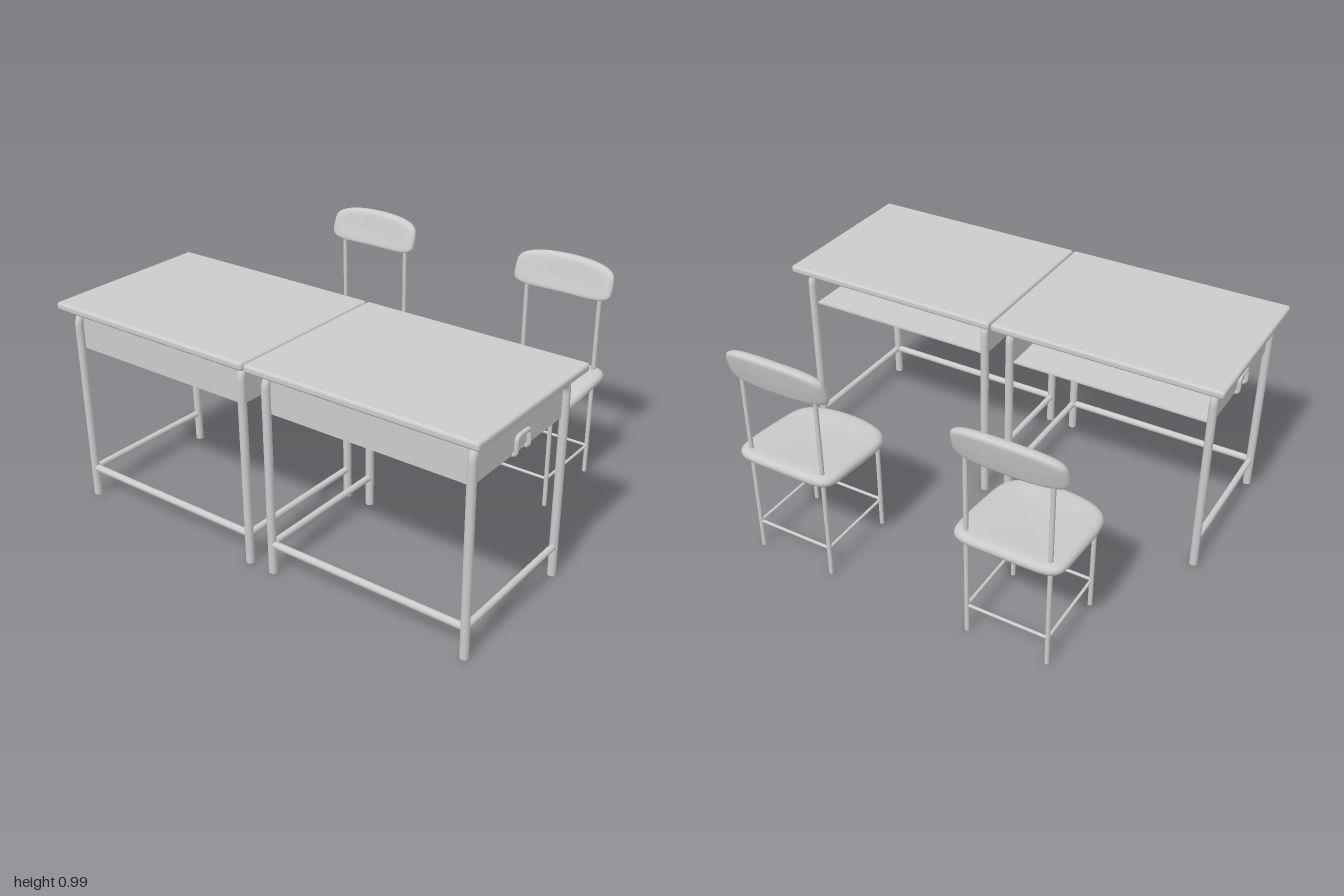
import * as THREE from 'three';
import { RoundedBoxGeometry } from 'three/addons/geometries/RoundedBoxGeometry.js';
import { mergeVertices } from 'three/addons/utils/BufferGeometryUtils.js';

const V = (x, y, z) => new THREE.Vector3(x, y, z);
const material = new THREE.MeshStandardMaterial({ color: 0xcccccc });

function add(group, name, geometry, x = 0, y = 0, z = 0) {
  const mesh = new THREE.Mesh(geometry, material);
  mesh.name = name;
  mesh.position.set(x, y, z);
  group.add(mesh);
  return mesh;
}

// Straight round bar between two points
function rod(group, name, a, b, r) {
  const dir = b.clone().sub(a);
  const mesh = add(group, name, new THREE.CylinderGeometry(r, r, dir.length(), 16));
  mesh.position.copy(a).add(b).multiplyScalar(0.5);
  mesh.quaternion.setFromUnitVectors(V(0, 1, 0), dir.normalize());
}

// Bent tube through points, corners rounded by radius c
function bentTube(points, c, r, segments) {
  const path = new THREE.CurvePath();
  let from = points[0];
  for (let i = 1; i < points.length - 1; i++) {
    const p = points[i];
    const a = p.clone().add(points[i - 1].clone().sub(p).setLength(c));
    const b = p.clone().add(points[i + 1].clone().sub(p).setLength(c));
    path.add(new THREE.LineCurve3(from, a));
    path.add(new THREE.QuadraticBezierCurve3(a, p.clone(), b));
    from = b;
  }
  path.add(new THREE.LineCurve3(from, points[points.length - 1]));
  return new THREE.TubeGeometry(path, segments, r, 12, false);
}

// Soft-edged pad: a lathed disc squared off by exponent p, then shaped by a rule.
// The rule gets u, v in -1..1, height h in -1..1 and radius s in 0..1.
function pad(p, rule) {
  const profile = [[0, -1], [0.4, -1], [0.75, -1], [0.89, -0.95], [0.96, -0.7], [0.99, -0.35], [1, 0],
    [0.99, 0.35], [0.96, 0.7], [0.89, 0.95], [0.75, 1], [0.55, 1], [0.35, 1], [0.17, 1], [0, 1]];
  let g = new THREE.LatheGeometry(profile.map(([x, y]) => new THREE.Vector2(x, y)), 96);
  const pos = g.attributes.position;
  for (let i = 0; i < pos.count; i++) {
    const x = pos.getX(i), h = pos.getY(i), z = pos.getZ(i);
    const s = Math.hypot(x, z);
    const k = s < 1e-6 ? 0 : s / Math.pow(Math.abs(x) ** p + Math.abs(z) ** p, 1 / p);
    pos.setXYZ(i, ...rule(x * k, z * k, h, s));
  }
  g.deleteAttribute('uv');
  g.deleteAttribute('normal');
  g = mergeVertices(g, 1e-5);
  g.computeVertexNormals();
  return g;
}

function makeDesk(side) {
  const desk = new THREE.Group();
  desk.name = 'desk';
  const zf = 0.716, zb = 0.082, legX = 0.442, r = 0.0175;

  add(desk, 'deskTop', new RoundedBoxGeometry(0.997, 0.034, 0.76, 3, 0.012), 0, 0.884, 0.395);

  // Side frames: two legs joined by an arched rail, with a stretcher below
  for (const x of [-legX, legX]) {
    for (const z of [zf, zb]) rod(desk, 'deskLeg', V(x, 0, z), V(x, 0.79, z), r);
    add(desk, 'sideArch', bentTube(
      [V(x, 0.79, zf), V(x, 0.843, zf), V(x, 0.843, zb), V(x, 0.79, zb)], 0.05, r, 70));
    rod(desk, 'sideStretcher', V(x, 0.13, zf), V(x, 0.13, zb), 0.014);
  }
  rod(desk, 'frontStretcher', V(-legX, 0.13, zf), V(legX, 0.13, zf), 0.015);

  // Book tray, open at the back
  const t = 0.008;
  add(desk, 'trayFront', new THREE.BoxGeometry(0.876, 0.175, t), 0, 0.781, 0.702);
  add(desk, 'trayBottom', new THREE.BoxGeometry(0.876, t, 0.61), 0, 0.698, 0.401);
  for (const x of [-0.434, 0.434])
    add(desk, 'traySide', new THREE.BoxGeometry(t, 0.175, 0.61), x, 0.781, 0.401);

  // Bag hook on the outer side
  const hook = new THREE.Group();
  hook.name = 'bagHook';
  const xo = side * 0.45, xi = side * 0.36, y0 = 0.693, y1 = 0.766, z0 = 0.355, z1 = 0.441;
  add(hook, 'hookLoop', bentTube([V(xi, y0, 0.398), V(xi, y0, z0), V(xo, y0, z0), V(xo, y1, z0),
    V(xo, y1, z1), V(xo, y0, z1), V(xi, y0, z1), V(xi, y0, 0.398)], 0.02, 0.009, 120));
  desk.add(hook);

  desk.position.x = side * 0.5015;
  return desk;
}

function makeChair(x0) {
  const chair = new THREE.Group();
  chair.name = 'chair';
  const lx = 0.175, zf = -0.353, zb = -0.72;

  // Dished seat, rounded at the front and rising to the back
  add(chair, 'seat', pad(7, (u, v, h, s) => {
    const front = Math.max(v, 0);
    const x = 0.2325 * u * (1 - 0.04 * front * front);
    const z = -0.55 + 0.215 * v + 0.05 * front * (1 - u * u);
    const rise = THREE.MathUtils.smoothstep(-z, 0.33, 0.74);
    const dish = h > 0 ? 0.014 * (1 - s * s) : 0;
    return [x, 0.455 + 0.028 * rise + 0.028 * h - dish, z];
  }));

  // Backrest, leaning back, arched on top and curved around the sitter
  add(chair, 'backrest', pad(5, (u, v, h) => {
    const up = -v;
    const y = 0.895 + 0.07 * up + 0.02 * Math.max(up, 0) * (1 - u * u);
    const x = 0.2325 * u * (1 - 0.025 * Math.max(up, 0));
    return [x, y, -0.735 - 0.02 * up + 0.018 * u * u + 0.023 * h];
  }));

  for (const x of [-lx, lx]) {
    rod(chair, 'frontLeg', V(x, 0, zf), V(x, 0.45, zf), 0.0095);
    rod(chair, 'backLeg', V(x, 0, zb), V(x, 0.87, zb), 0.0095);
    rod(chair, 'sideBar', V(x, 0.13, zf), V(x, 0.13, zb), 0.0065);
  }
  for (const z of [zf, zb]) rod(chair, 'crossBar', V(-lx, 0.13, z), V(lx, 0.13, z), 0.0065);

  chair.position.x = x0;
  return chair;
}

export function createModel() {
  const model = new THREE.Group();
  model.name = 'deskPairWithChairs';
  for (const side of [-1, 1]) model.add(makeDesk(side));
  for (const x of [-0.506, 0.495]) model.add(makeChair(x));
  return model;
}
